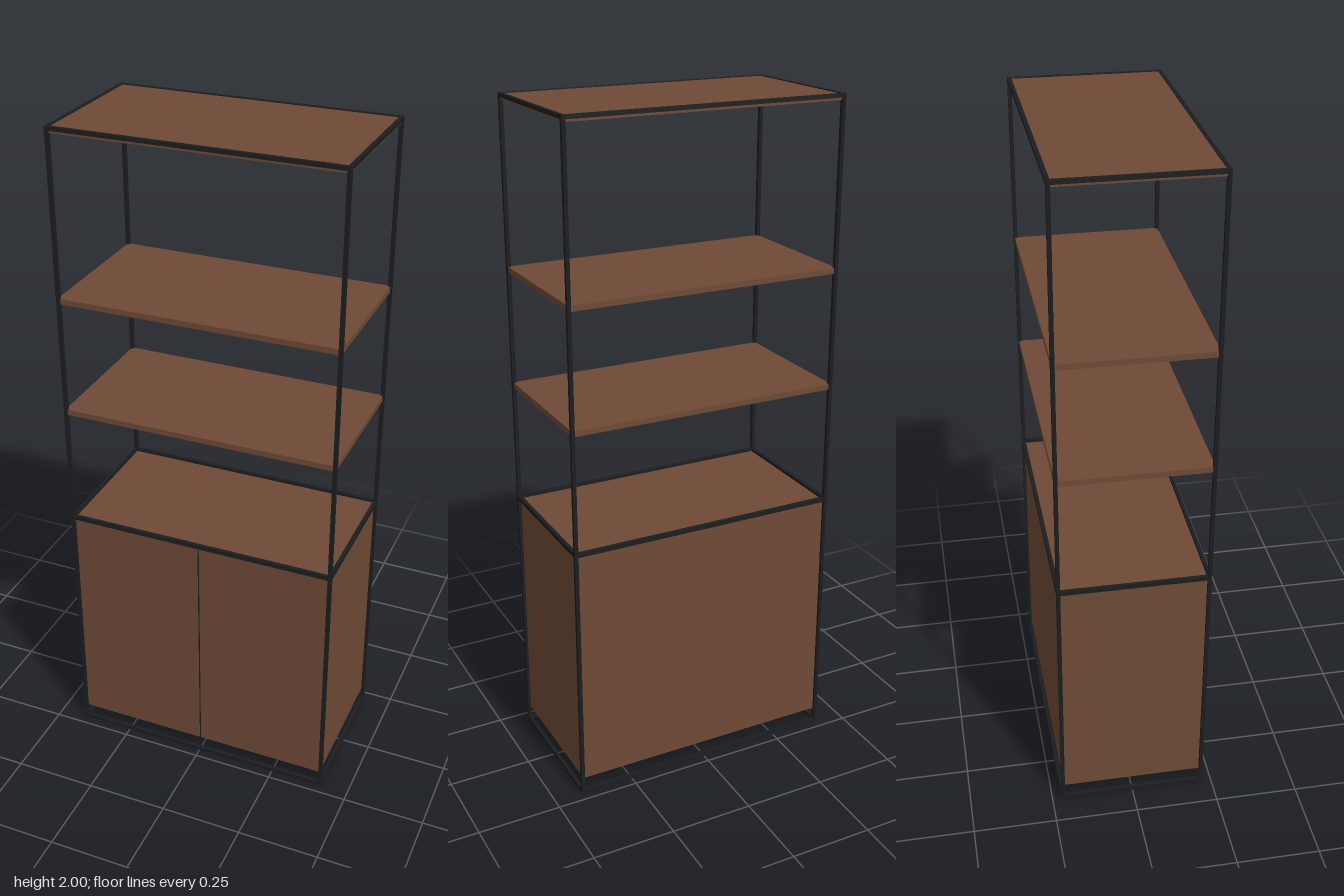
import * as THREE from 'three';

export function createModel() {
  const wood = new THREE.MeshStandardMaterial({ color: 0x6f4a35 });
  wood.name = 'brown wood';
  const metal = new THREE.MeshStandardMaterial({ color: 0x1c1d1f });
  metal.name = 'black metal';

  const model = new THREE.Group();
  model.name = 'shelfCabinet';
  const X = 0.415, Z = 0.222, BAR = 0.011;

  // box given by its half width, half depth and vertical span
  function box(parent, name, mat, w, d, y0, y1, x = 0, z = 0) {
    const mesh = new THREE.Mesh(new THREE.BoxGeometry(w, y1 - y0, d), mat);
    mesh.name = name;
    mesh.position.set(x, (y0 + y1) / 2, z);
    parent.add(mesh);
    return mesh;
  }

  // metal frame: four posts and three rectangular rings
  const frame = new THREE.Group();
  frame.name = 'frame';
  model.add(frame);
  for (const sx of [-1, 1]) {
    for (const sz of [-1, 1]) {
      box(frame, 'post', metal, BAR, BAR, 0, 2, sx * (X - BAR / 2), sz * (Z - BAR / 2));
    }
  }
  for (const [name, y0, y1] of [['bottomRing', 0, 0.012], ['cabinetRing', 0.79, 0.803], ['topRing', 1.989, 2]]) {
    const ring = new THREE.Group();
    ring.name = name;
    frame.add(ring);
    for (const s of [-1, 1]) {
      box(ring, 'longRail', metal, 2 * (X - BAR), BAR, y0, y1, 0, s * (Z - BAR / 2));
      box(ring, 'shortRail', metal, BAR, 2 * (Z - BAR), y0, y1, s * (X - BAR / 2), 0);
    }
  }

  // open shelves
  for (const [name, y0, y1] of [['lowerShelf', 1.151, 1.168], ['upperShelf', 1.5, 1.517], ['topShelf', 1.982, 1.989]]) {
    box(model, name, wood, 0.822, 0.436, y0, y1);
  }
  // top board fills the inside of the top ring
  box(model, 'topBoard', wood, 2 * (X - BAR), 2 * (Z - BAR), 1.989, 1.998);

  // closed cabinet with two doors
  const cabinet = new THREE.Group();
  cabinet.name = 'cabinet';
  model.add(cabinet);
  const W = 0.812, FRONT = 0.214, DOOR = 0.016, GAP = 0.005;
  const bodyDepth = 2 * FRONT - DOOR;
  box(cabinet, 'cabinetBody', wood, W, bodyDepth, 0.048, 0.784, 0, -DOOR / 2);
  box(cabinet, 'cabinetTop', wood, W, 2 * FRONT, 0.784, 0.794);
  const doorW = (W - GAP) / 2;
  for (const s of [-1, 1]) {
    box(cabinet, s > 0 ? 'leftDoor' : 'rightDoor', wood, doorW, DOOR, 0.048, 0.784,
      s * (GAP + doorW) / 2, FRONT - DOOR / 2);
  }
  // dark seam between the doors
  box(cabinet, 'doorSeam', metal, GAP, 0.008, 0.048, 0.784, 0, FRONT - 0.006);

  return model;
}
